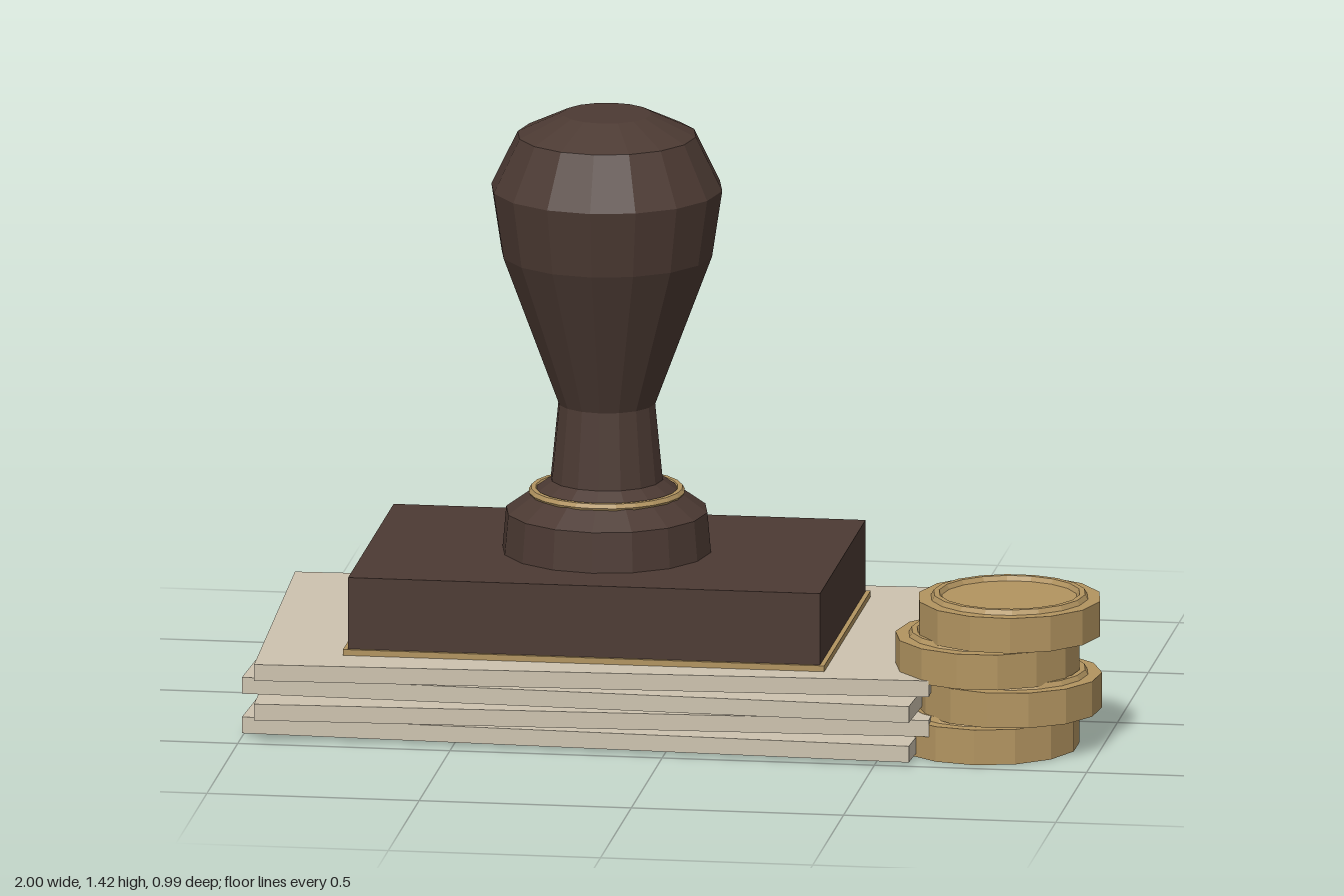
import * as THREE from 'three';

const flat = (geometry) => {
  const g = geometry.index ? geometry.toNonIndexed() : geometry;
  g.computeVertexNormals();
  return g;
};

export function createModel() {
  const model = new THREE.Group();
  model.name = 'deskStampSet';

  const material = (name, color) => {
    const m = new THREE.MeshStandardMaterial({ color });
    m.name = name;
    return m;
  };
  const wood = material('darkWood', 0x4c3a33);
  const brass = material('brass', 0xb29460);
  const paper = material('paper', 0xcdc3af);

  const add = (parent, name, geometry, mat, x, y, z) => {
    const mesh = new THREE.Mesh(geometry, mat);
    mesh.name = name;
    mesh.position.set(x, y, z);
    parent.add(mesh);
    return mesh;
  };

  // Stack of thick sheets, turned alternately left and right
  const sheets = new THREE.Group();
  sheets.name = 'paperStack';
  model.add(sheets);
  const sheetGeometry = new THREE.BoxGeometry(1.582, 0.039, 0.926);
  for (let i = 0; i < 4; i++) {
    const sheet = add(sheets, 'sheet', sheetGeometry, paper, -0.191, 0.0275 + i * 0.0475, 0);
    sheet.rotation.y = i % 2 ? 0.041 : -0.041;
  }

  // Stamp: brass plate, wooden block, turned handle and brass ring
  const stamp = new THREE.Group();
  stamp.name = 'stamp';
  stamp.position.x = -0.203;
  model.add(stamp);
  add(stamp, 'stampPlate', new THREE.BoxGeometry(1.134, 0.014, 0.754), brass, 0, 0.197, 0);
  add(stamp, 'stampBlock', new THREE.BoxGeometry(1.112, 0.172, 0.738), wood, 0, 0.289, 0);

  const profile = [
    [0, 0.37], [0.246, 0.37], [0.237, 0.47], [0.132, 0.545], [0.114, 0.727],
    [0.248, 1.085], [0.272, 1.243], [0.21, 1.37], [0.104, 1.42], [0, 1.42],
  ].map(([r, y]) => new THREE.Vector2(r, y));
  add(stamp, 'handle', flat(new THREE.LatheGeometry(profile, 16)), wood, 0, 0, 0);

  const ring = new THREE.TorusGeometry(0.172, 0.011, 6, 24).rotateX(Math.PI / 2);
  add(stamp, 'handleRing', flat(ring), brass, 0, 0.515, 0);

  // Pile of coins, each with a raised rim
  const coins = new THREE.Group();
  coins.name = 'coinPile';
  model.add(coins);
  const coinBody = flat(new THREE.CylinderGeometry(0.216, 0.216, 0.084, 14));
  const coinRim = flat(new THREE.TorusGeometry(0.172, 0.013, 6, 18).rotateX(Math.PI / 2));
  for (let i = 0; i < 4; i++) {
    const coin = new THREE.Group();
    coin.name = 'coin';
    coin.position.set(i % 2 ? 0.782 : 0.73, 0.042 + i * 0.09, 0.25);
    coin.rotation.y = i * 0.35;
    add(coin, 'coinBody', coinBody, brass, 0, 0, 0);
    add(coin, 'coinRim', coinRim, brass, 0, 0.042, 0);
    coins.add(coin);
  }

  return model;
}
